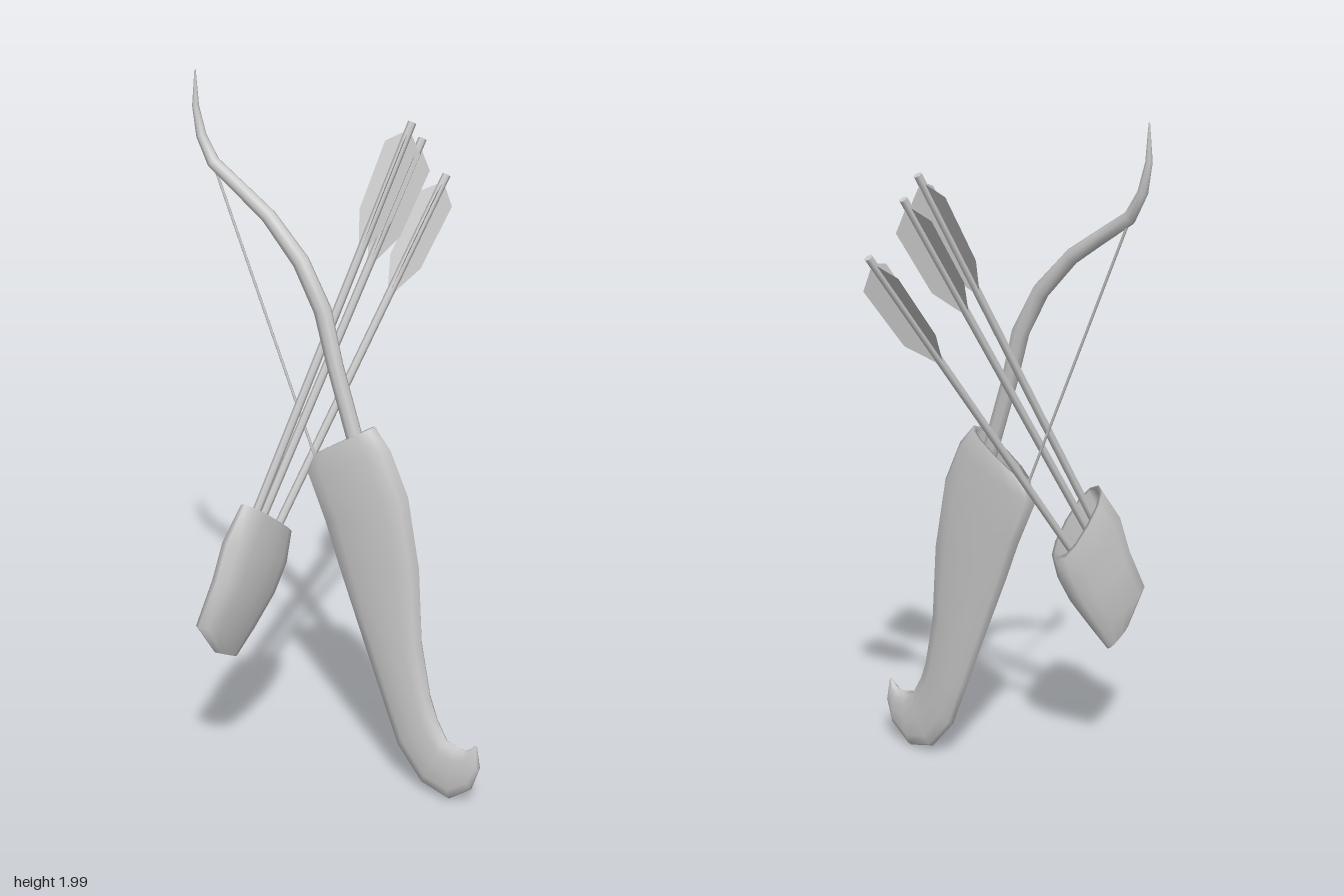
import * as THREE from 'three';

const V = (x, y, z) => new THREE.Vector3(x, y, z);
const Z = 0.054; // plane of the bow and its case
const material = new THREE.MeshStandardMaterial({ color: 0xcccccc });
const thin = new THREE.MeshStandardMaterial({ color: 0xcccccc, side: THREE.DoubleSide });

function part(name, geometry, mat = material) {
  const mesh = new THREE.Mesh(geometry, mat);
  mesh.name = name;
  return mesh;
}

// Skin over oval sections; each is [edge A, edge B, half thickness along t]
function loft(sections, t, sides, power = 1) {
  const pos = [], index = [];
  const soft = (v) => Math.sign(v) * Math.pow(Math.abs(v), power);
  const mids = sections.map(([a, b]) => a.clone().add(b).multiplyScalar(0.5));
  sections.forEach(([a, b, w], i) => {
    const half = b.clone().sub(a).multiplyScalar(0.5);
    for (let j = 0; j < sides; j++) {
      const ang = (j / sides) * Math.PI * 2;
      const p = mids[i].clone().addScaledVector(half, soft(Math.cos(ang))).addScaledVector(t, w * soft(Math.sin(ang)));
      pos.push(p.x, p.y, p.z);
    }
  });
  const n = sections.length;
  for (let i = 0; i < n - 1; i++) {
    for (let j = 0; j < sides; j++) {
      const a = i * sides + j, b = i * sides + (j + 1) % sides;
      index.push(a, b, a + sides, b, b + sides, a + sides);
    }
  }
  // end caps
  const first = n * sides, last = first + 1, end = (n - 1) * sides;
  pos.push(...mids[0].toArray(), ...mids[n - 1].toArray());
  for (let j = 0; j < sides; j++) {
    const k = (j + 1) % sides;
    index.push(first, k, j, last, end + j, end + k);
  }
  const g = new THREE.BufferGeometry();
  g.setAttribute('position', new THREE.Float32BufferAttribute(pos, 3));
  g.setIndex(index);
  g.computeVertexNormals();
  return g;
}

// Turn an outer skin into an open container by folding the rim inwards
function hollow(sections, depth) {
  const shrink = ([a, b, w]) => [a.clone().lerp(b, 0.06), b.clone().lerp(a, 0.06), w * 0.8];
  const inner = sections.slice(0, depth).map(shrink).reverse();
  return [...inner, ...sections];
}

function rod(a, b, r, sides) {
  const d = b.clone().sub(a);
  const g = new THREE.CylinderGeometry(r, r, d.length(), sides);
  g.applyQuaternion(new THREE.Quaternion().setFromUnitVectors(V(0, 1, 0), d.normalize()));
  const m = a.clone().add(b).multiplyScalar(0.5);
  return g.translate(m.x, m.y, m.z);
}

function makeBow() {
  const bow = new THREE.Group();
  bow.name = 'bow';
  // limb: x, y, radius from the tip down into the case
  const limb = [
    [-0.465, 1.998, 0.002], [-0.467, 1.9, 0.01], [-0.45, 1.82, 0.015], [-0.41, 1.75, 0.019],
    [-0.32, 1.69, 0.02], [-0.225, 1.625, 0.022], [-0.12, 1.515, 0.025], [-0.05, 1.39, 0.026],
    [-0.01, 1.24, 0.024], [0.055, 1.04, 0.024], [0.11, 0.85, 0.02],
  ];
  const sections = limb.map(([x, y, r], i) => {
    const p = limb[Math.max(i - 1, 0)], q = limb[Math.min(i + 1, limb.length - 1)];
    const n = V(p[1] - q[1], q[0] - p[0], 0).normalize().multiplyScalar(r);
    const c = V(x, y, Z);
    return [c.clone().sub(n), c.clone().add(n), r * 0.9];
  });
  bow.add(part('bowLimb', loft(sections, V(0, 0, 1), 8)));
  bow.add(part('bowString', rod(V(-0.41, 1.745, Z), V(-0.03, 0.84, Z), 0.004, 5)));
  return bow;
}

function makeCase() {
  // left x, y, right x, y, half thickness from the mouth to the hooked foot
  const rows = [
    [-0.08, 0.965, 0.12, 1.09, 0.031], [-0.105, 0.905, 0.172, 1.03, 0.037],
    [-0.045, 0.77, 0.23, 0.905, 0.038], [0.0, 0.65, 0.268, 0.7, 0.037],
    [0.085, 0.44, 0.28, 0.47, 0.034], [0.155, 0.265, 0.31, 0.31, 0.031],
    [0.207, 0.13, 0.335, 0.245, 0.028], [0.29, 0.03, 0.367, 0.19, 0.025],
    [0.38, 0.004, 0.4, 0.182, 0.023], [0.452, 0.06, 0.428, 0.178, 0.02],
    [0.476, 0.13, 0.445, 0.188, 0.013], [0.467, 0.2, 0.46, 0.203, 0.003],
  ];
  const sections = rows.map(([ax, ay, bx, by, w]) => [V(ax, ay, Z), V(bx, by, Z), w]);
  return part('bowCase', loft(hollow(sections, 3), V(0, 0, 1), 12, 0.85));
}

function makeQuiver() {
  // back edge, front edge and half width from the mouth to the base
  const sections = [
    [V(-0.145, 0.73, 0.1), V(-0.125, 0.895, 0.32), 0.042],
    [V(-0.14, 0.65, 0.135), V(-0.14, 0.8, 0.385), 0.05],
    [V(-0.15, 0.57, 0.18), V(-0.16, 0.69, 0.41), 0.048],
    [V(-0.168, 0.48, 0.245), V(-0.187, 0.565, 0.463), 0.034],
    [V(-0.185, 0.405, 0.3), V(-0.19, 0.455, 0.39), 0.01],
  ];
  return part('quiver', loft(hollow(sections, 3), V(-1, 0, 0), 12, 0.85));
}

function makeArrow(bottom, tip) {
  const arrow = new THREE.Group();
  arrow.name = 'arrow';
  const d = tip.clone().sub(bottom).normalize();
  // the shaft carries on down inside the quiver
  const foot = bottom.clone().addScaledVector(d, -0.16);
  arrow.add(part('arrowShaft', rod(foot, tip, 0.012, 6)));

  // three feathers spaced evenly around the shaft
  const outline = [[0.005, 0.38], [0.055, 0.27], [0.06, 0.07], [0.012, 0.03], [0.002, 0.03]];
  const shape = new THREE.Shape(outline.map(([r, s]) => new THREE.Vector2(r, -s)));
  const out = V(-1, 0, 0).addScaledVector(d, d.x).normalize();
  for (let i = 0; i < 3; i++) {
    const u = out.clone().applyAxisAngle(d, (i * Math.PI * 2) / 3);
    const m = new THREE.Matrix4().makeBasis(u, d, u.clone().cross(d)).setPosition(tip);
    arrow.add(part('feather', new THREE.ShapeGeometry(shape).applyMatrix4(m), thin));
  }
  return arrow;
}

export function createModel() {
  const model = new THREE.Group();
  model.name = 'bowAndQuiver';
  model.add(makeBow(), makeCase(), makeQuiver());
  model.add(
    makeArrow(V(-0.138, 0.85, 0.25), V(0.026, 1.855, -0.27)),
    makeArrow(V(-0.138, 0.82, 0.225), V(0.026, 1.8, -0.325)),
    makeArrow(V(-0.133, 0.78, 0.15), V(0.026, 1.67, -0.457)),
  );
  return model;
}
